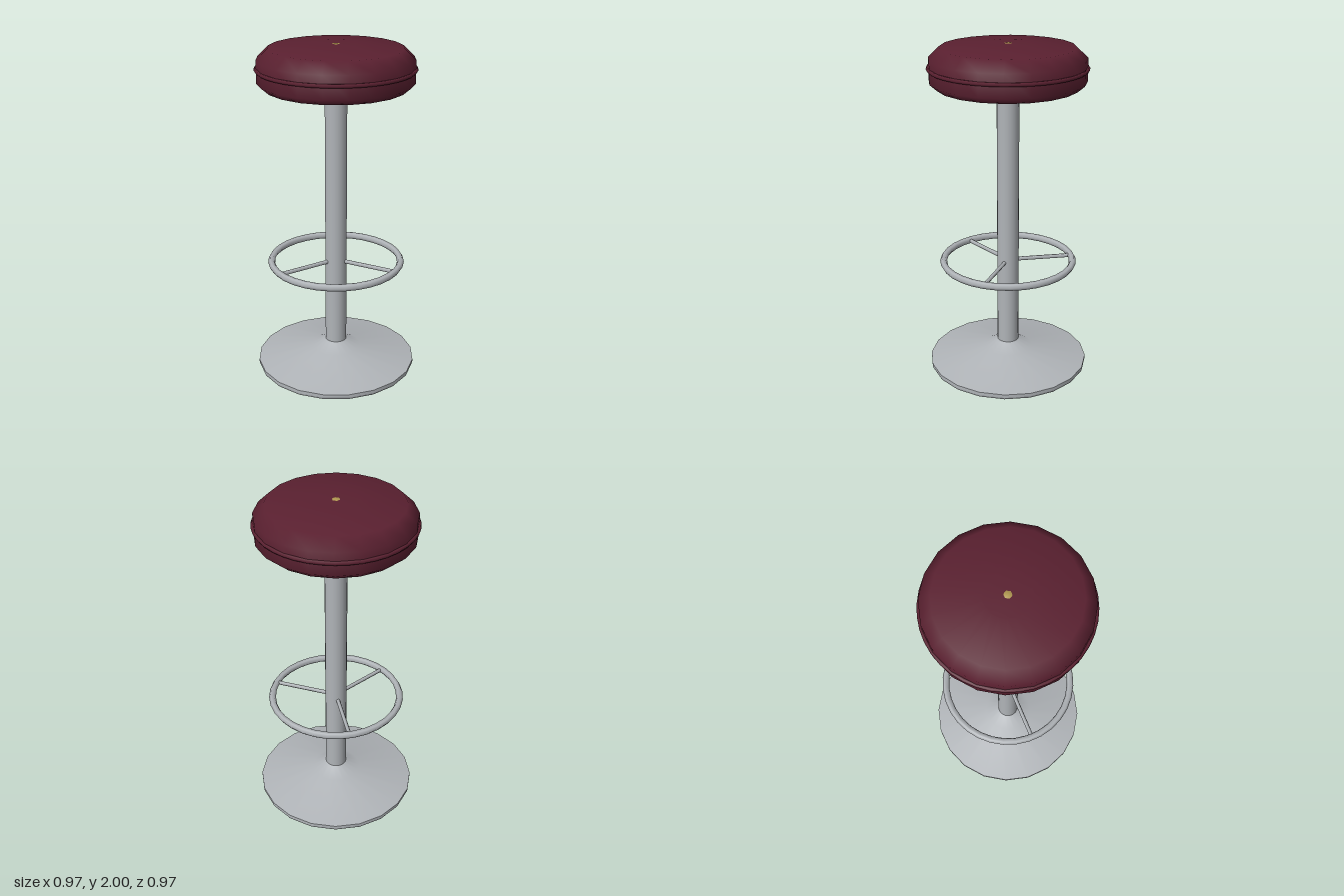
import * as THREE from 'three';

const SIDES = 20;

// Turned part from [radius, height] points, bottom to top; a repeated point keeps a sharp edge
function turned(name, points, material) {
  const profile = points.map(([r, y]) => new THREE.Vector2(r, y));
  const mesh = new THREE.Mesh(new THREE.LatheGeometry(profile, SIDES), material);
  mesh.name = name;
  return mesh;
}

// Horizontal ring at a given height
function ring(name, radius, tube, y, tubeSides, segments, material) {
  const geometry = new THREE.TorusGeometry(radius, tube, tubeSides, segments).rotateX(Math.PI / 2);
  const mesh = new THREE.Mesh(geometry, material);
  mesh.name = name;
  mesh.position.y = y;
  return mesh;
}

export function createModel() {
  const steel = new THREE.MeshStandardMaterial({ name: 'brushed steel', color: 0xb0b4b8 });
  const leather = new THREE.MeshStandardMaterial({ name: 'burgundy leather', color: 0x5a2030 });
  const brass = new THREE.MeshStandardMaterial({ name: 'brass', color: 0xb09850 });

  const stool = new THREE.Group();
  stool.name = 'barStool';

  // Flared foot with a thin rim
  stool.add(turned('base', [
    [0, 0], [0.48, 0], [0.48, 0], [0.485, 0.012], [0.485, 0.012],
    [0.485, 0.032], [0.485, 0.032], [0.15, 0.1], [0.065, 0.148],
  ], steel));

  // Column opening into the seat mount
  stool.add(turned('column', [
    [0.065, 0.14], [0.065, 1.7], [0.065, 1.7], [0.145, 1.755],
  ], steel));

  // Padded seat
  stool.add(turned('seat', [
    [0, 1.75], [0.41, 1.75], [0.45, 1.785], [0.45, 1.915],
    [0.385, 1.977], [0.13, 1.996], [0, 1.996],
  ], leather));
  stool.add(ring('seatPiping', 0.449, 0.012, 1.86, 6, 40, leather));

  // Domed centre button
  const button = new THREE.Mesh(new THREE.SphereGeometry(0.033, 6, 4), brass);
  button.name = 'seatButton';
  button.scale.y = 0.4;
  button.position.y = 1.9868;
  stool.add(button);

  // Footrest ring on three spokes
  const footrest = new THREE.Group();
  footrest.name = 'footrest';
  footrest.position.y = 0.683;
  footrest.add(ring('footRing', 0.391, 0.021, 0, 6, 32, steel));
  for (let i = 0; i < 3; i++) {
    const geometry = new THREE.CylinderGeometry(0.012, 0.012, 0.34, 6)
      .rotateZ(Math.PI / 2)
      .translate(0.22, 0, 0);
    const spoke = new THREE.Mesh(geometry, steel);
    spoke.name = 'footrestSpoke';
    spoke.rotation.y = (i * Math.PI * 2) / 3;
    footrest.add(spoke);
  }
  stool.add(footrest);

  return stool;
}
